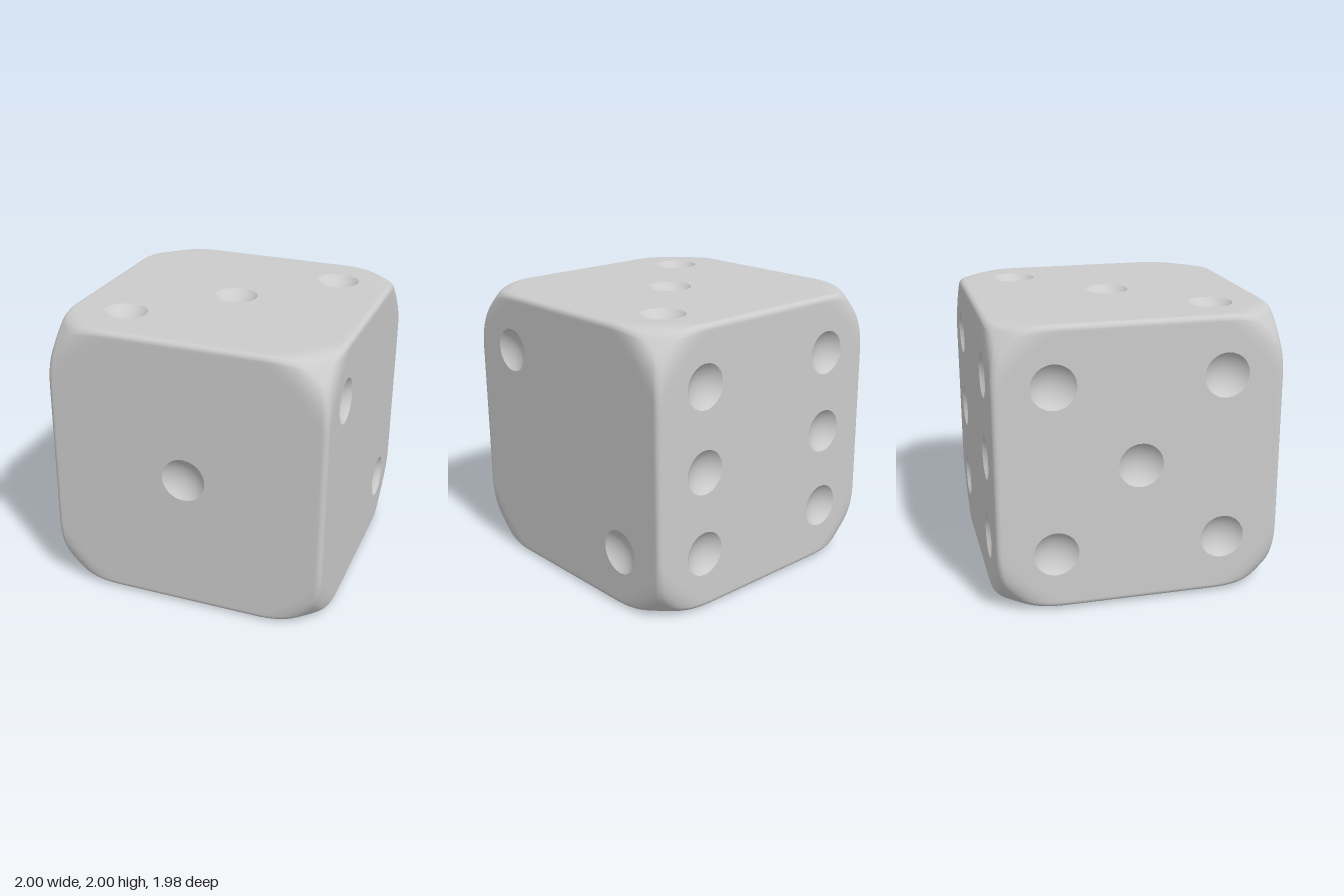
import * as THREE from 'three';
import { mergeVertices } from 'three/addons/utils/BufferGeometryUtils.js';

const HALF = 0.99;       // half the cube's width
const EDGE = 0.04;       // edge rounding
const BALL = 1.56;       // sphere that trims the corners
const BLEND = 0.08;      // softness of that trim
const PANEL = 0.76;      // half width of the flat middle of a face
const PIP = 0.155;       // pip radius
const SLOPE = Math.PI / 4; // steepness of the bowl at its rim
const P = 0.585;         // pip spacing
const SEG = 48;

const V = (x, y, z) => new THREE.Vector3(x, y, z);
const corners = [[-P, -P], [P, -P], [P, P], [-P, P]];

// Each face: horizontal axis, vertical axis, pip centres
const FACES = [
  { name: 'front', u: V(1, 0, 0), v: V(0, 1, 0), pips: [[0, 0]] },
  { name: 'leftSide', u: V(0, 0, -1), v: V(0, 1, 0), pips: [[-P, P], [P, -P]] },
  { name: 'top', u: V(1, 0, 0), v: V(0, 0, -1), pips: [[P, P], [0, 0], [-P, -P]] },
  { name: 'bottom', u: V(1, 0, 0), v: V(0, 0, 1), pips: corners },
  { name: 'rightSide', u: V(0, 0, 1), v: V(0, 1, 0), pips: [...corners, [0, 0]] },
  { name: 'back', u: V(-1, 0, 0), v: V(0, 1, 0), pips: [...corners, [-P, 0], [P, 0]] },
];

// Cube point -> rounded box, then smoothly trimmed by the sphere
function soften(p) {
  const k = HALF - EDGE;
  const c = p.clone().clamp(V(-k, -k, -k), V(k, k, k));
  const q = p.clone().sub(c).setLength(EDGE).add(c);
  const len = q.length();
  const h = Math.max(BLEND - Math.abs(len - BALL), 0) / BLEND;
  return q.setLength(Math.min(len, BALL) - h * h * BLEND / 4);
}

// Rounded edges and corners: face grids without their flat middles
function shellGeometry() {
  const rim = [0.76, 0.785, 0.81, 0.835, 0.86, 0.885, 0.91, 0.93, 0.95, 0.958, 0.966, 0.974, 0.982, 0.99];
  const line = [...rim].reverse().map((t) => -t);
  for (let i = 1; i < 40; i++) line.push(-PANEL + (2 * PANEL * i) / 40);
  line.push(...rim);
  const n = line.length;
  const first = rim.length - 1, last = n - rim.length;
  const pos = [], index = [];
  for (const { u, v } of FACES) {
    const w = u.clone().cross(v);
    const base = pos.length / 3;
    for (const b of line) {
      for (const a of line) {
        const p = w.clone().multiplyScalar(HALF).addScaledVector(u, a).addScaledVector(v, b);
        pos.push(...soften(p).toArray());
      }
    }
    for (let j = 0; j < n - 1; j++) {
      for (let i = 0; i < n - 1; i++) {
        if (i >= first && i < last && j >= first && j < last) continue;
        const a = base + j * n + i;
        index.push(a, a + 1, a + n + 1, a, a + n + 1, a + n);
      }
    }
  }
  const geo = new THREE.BufferGeometry();
  geo.setAttribute('position', new THREE.Float32BufferAttribute(pos, 3));
  geo.setIndex(index);
  const welded = mergeVertices(geo, 1e-5);
  welded.computeVertexNormals();
  return welded;
}

// Flat middle of a face with a round hole for each pip
function panelGeometry(pips) {
  const s = new THREE.Shape();
  s.moveTo(-PANEL, -PANEL).lineTo(PANEL, -PANEL).lineTo(PANEL, PANEL).lineTo(-PANEL, PANEL).closePath();
  for (const [x, y] of pips) {
    s.holes.push(new THREE.Path().absarc(x, y, PIP, 0, Math.PI * 2, true));
  }
  return new THREE.ShapeGeometry(s, SEG);
}

// Shallow spherical bowl opening towards +z
function bowlGeometry() {
  const r = PIP / Math.sin(SLOPE);
  const profile = [];
  for (let i = 0; i <= 12; i++) {
    const t = SLOPE * (1 - i / 12);
    profile.push(new THREE.Vector2(r * Math.sin(t), r * (Math.cos(SLOPE) - Math.cos(t))));
  }
  return new THREE.LatheGeometry(profile, SEG).rotateX(Math.PI / 2);
}

export function createModel() {
  const mat = new THREE.MeshStandardMaterial({ color: 0xcccccc });
  const add = (parent, name, geo) => {
    const m = new THREE.Mesh(geo, mat);
    m.name = name;
    parent.add(m);
    return m;
  };

  const die = new THREE.Group();
  die.name = 'die';
  add(die, 'roundedEdges', shellGeometry());

  const bowl = bowlGeometry();
  for (const { name, u, v, pips } of FACES) {
    const face = new THREE.Group();
    face.name = name + 'Face';
    const w = u.clone().cross(v);
    face.quaternion.setFromRotationMatrix(new THREE.Matrix4().makeBasis(u, v, w));
    face.position.copy(w).multiplyScalar(HALF);
    add(face, name + 'Panel', panelGeometry(pips));
    for (const [x, y] of pips) add(face, 'pip', bowl).position.set(x, y, 0);
    die.add(face);
  }

  // The die rests with a very slight lean
  die.rotation.z = THREE.MathUtils.degToRad(-0.5);
  die.position.y = 0.998;

  const model = new THREE.Group();
  model.name = 'model';
  model.add(die);
  return model;
}
